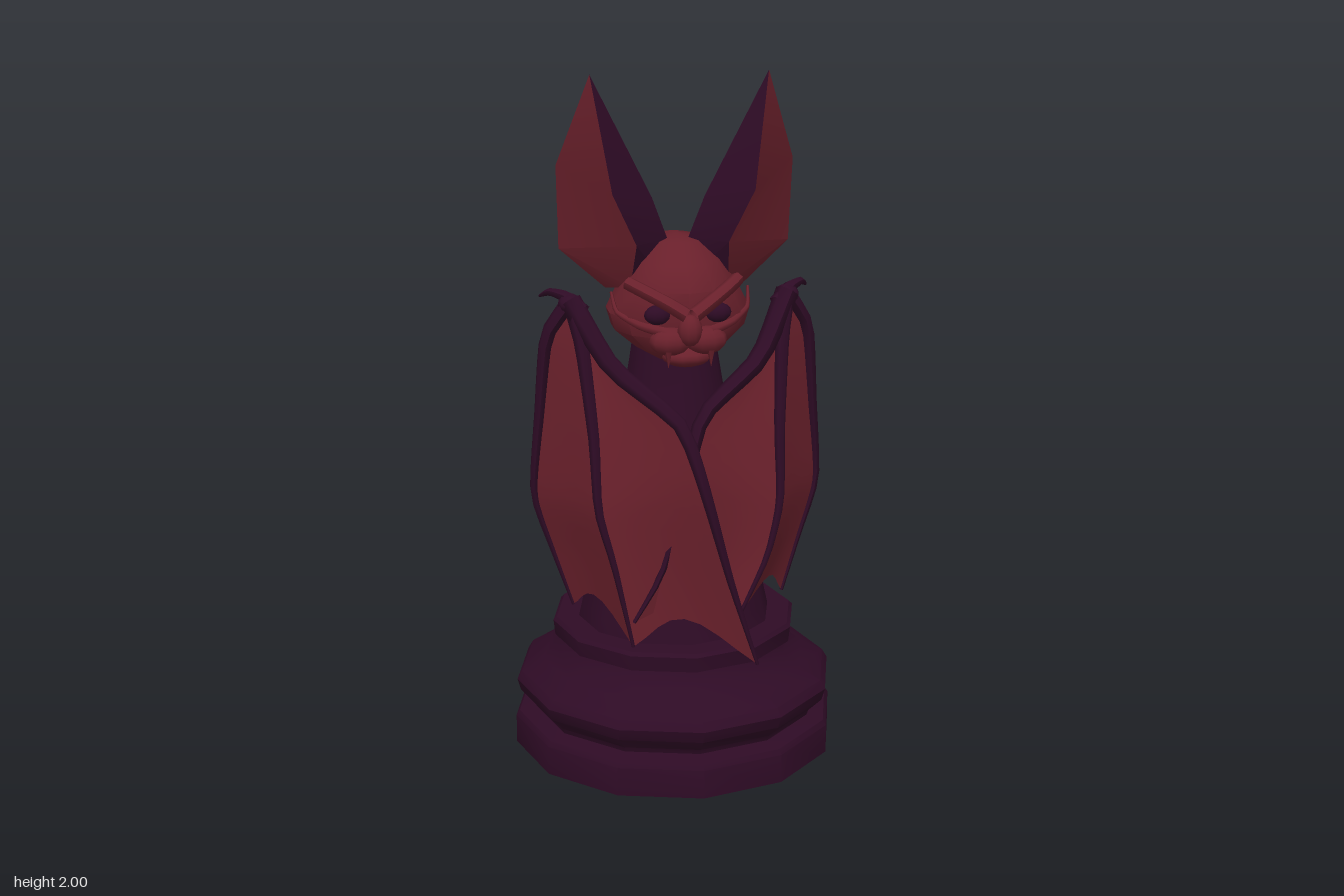
import * as THREE from 'three';
import { toCreasedNormals } from 'three/addons/utils/BufferGeometryUtils.js';

const V = (x, y, z) => new THREE.Vector3(x, y, z);
const path = points => new THREE.CatmullRomCurve3(points, false, 'catmullrom', 0.3);

// Surface through rows of points
function grid(rows, crease = 0.7) {
  const n = rows[0].length, pos = [], idx = [];
  rows.forEach(r => r.forEach(p => pos.push(p.x, p.y, p.z)));
  for (let i = 0; i < rows.length - 1; i++) {
    for (let j = 0; j < n - 1; j++) {
      const a = i * n + j, b = a + 1, c = a + n, d = c + 1;
      idx.push(a, c, b, b, c, d);
    }
  }
  const g = new THREE.BufferGeometry();
  g.setAttribute('position', new THREE.Float32BufferAttribute(pos, 3));
  g.setIndex(idx);
  return toCreasedNormals(g, crease);
}

// Tube whose radius runs from r0 to r1 along the curve, deepened in z
function taper(points, r0, r1, n = 14, depth = 1) {
  const curve = path(points), sides = 6;
  const g = new THREE.TubeGeometry(curve, n, 1, sides);
  const p = g.attributes.position, v = V(0, 0, 0);
  for (let i = 0; i < p.count; i++) {
    const t = Math.floor(i / (sides + 1)) / n, c = curve.getPointAt(t);
    v.fromBufferAttribute(p, i).sub(c).multiplyScalar(r0 + (r1 - r0) * t);
    v.z *= depth;
    v.add(c);
    p.setXYZ(i, v.x, v.y, v.z);
  }
  g.computeVertexNormals();
  return g;
}

export function createModel() {
  const model = new THREE.Group();
  const material = (name, color) =>
    new THREE.MeshStandardMaterial({ name, color, side: THREE.DoubleSide });
  const purple = material('dark plum', 0x2e0b25);
  const red = material('wine red', 0x69202b);
  const brown = material('dark brown', 0x40271f);

  const add = (name, geo, mat, parent = model) => {
    const m = new THREE.Mesh(geo, mat);
    m.name = name;
    parent.add(m);
    return m;
  };
  const ball = (name, mat, x, y, z, sx, sy, sz, parent) => {
    const m = add(name, new THREE.SphereGeometry(1, 10, 8), mat, parent);
    m.position.set(x, y, z);
    m.scale.set(sx, sy, sz);
  };
  const lathe = pts => toCreasedNormals(
    new THREE.LatheGeometry(pts.map(([r, y]) => new THREE.Vector2(r, y)), 12), 0.6);

  // Turned pedestal and tapering body
  add('pedestal', lathe([
    [0, 0], [0.475, 0], [0.475, 0.085], [0.465, 0.1], [0.415, 0.11], [0.42, 0.125],
    [0.46, 0.165], [0.47, 0.2], [0.455, 0.225], [0.39, 0.26], [0.345, 0.295], [0.33, 0.325],
    [0.355, 0.335], [0.36, 0.38], [0.35, 0.39], [0.295, 0.39], [0, 0.39],
  ]), purple);
  add('body', lathe([
    [0.285, 0.385], [0.275, 0.43], [0.24, 0.6], [0.2, 0.8], [0.158, 1.0], [0.128, 1.18], [0.115, 1.27], [0, 1.3],
  ]), purple);

  // Head from horizontal sections: height, half width, back z, front z
  const head = new THREE.Group();
  head.name = 'head';
  model.add(head);
  const rings = [
    [1.54, 0, 0.03, 0.03], [1.525, 0.07, -0.06, 0.11], [1.475, 0.125, -0.1, 0.185],
    [1.41, 0.165, -0.115, 0.23], [1.33, 0.205, -0.115, 0.23], [1.28, 0.19, -0.112, 0.225],
    [1.23, 0.13, -0.1, 0.215], [1.2, 0.08, -0.04, 0.17], [1.195, 0, 0.06, 0.06],
  ].map(([y, w, back, front]) => Array.from({ length: 15 }, (_, i) => {
    const a = (i / 14) * Math.PI * 2;
    return V(w * Math.sin(a), y, (front + back) / 2 + (front - back) / 2 * Math.cos(a));
  }));
  add('skull', grid(rings), red, head);
  ball('nose', red, 0, 1.31, 0.245, 0.035, 0.045, 0.035, head);
  ball('chin', red, 0, 1.225, 0.2, 0.07, 0.03, 0.05, head);

  for (const s of [1, -1]) {
    const side = s > 0 ? 'left' : 'right';
    const P = (x, y, z) => V(s * x, y, z);

    // Face details
    ball(side + 'Muzzle', red, s * 0.05, 1.275, 0.22, 0.06, 0.04, 0.045, head);
    ball(side + 'Eye', purple, s * 0.085, 1.35, 0.213, 0.038, 0.028, 0.025, head);
    add(side + 'Brow', taper([P(0.01, 1.355, 0.255), P(0.06, 1.385, 0.235), P(0.115, 1.41, 0.19),
      P(0.155, 1.425, 0.14)], 0.022, 0.02), red, head);
    add(side + 'Cheek', taper([P(0.06, 1.3, 0.23), P(0.13, 1.315, 0.19), P(0.185, 1.34, 0.13),
      P(0.195, 1.39, 0.09)], 0.016, 0.004), red, head);
    const fang = add(side + 'Fang', new THREE.ConeGeometry(0.013, 0.055, 5), red, head);
    fang.position.set(s * 0.06, 1.23, 0.245);
    fang.rotation.x = Math.PI;

    // Ear: long edges running from the tip to the head, with a hollow inner side
    const ear = new THREE.Group();
    ear.name = side + 'Ear';
    model.add(ear);
    const tip = P(0.25, 2, 0.09);
    const inner = [tip, P(0.075, 1.65, 0.07), P(0.03, 1.53, 0.06), P(0.05, 1.42, 0.04)];
    const ridge = [tip, P(0.2, 1.68, 0.16), P(0.13, 1.53, 0.14), P(0.14, 1.4, 0.09)];
    const outer = [tip, P(0.337, 1.74, 0.02), P(0.33, 1.5, 0.005), P(0.2, 1.385, 0.02)];
    const backOuter = [tip, P(0.265, 1.7, -0.055), P(0.26, 1.5, -0.065), P(0.17, 1.39, -0.05)];
    const backInner = [tip, P(0.175, 1.68, -0.06), P(0.14, 1.5, -0.08), P(0.11, 1.4, -0.07)];
    const rim = [tip, P(0.14, 1.66, -0.01), P(0.075, 1.53, -0.035), P(0.07, 1.42, -0.03)];
    const panel = (name, mat, ...edges) =>
      add(name, grid(tip && inner.map((_, i) => edges.map(e => e[i])), 0.5), mat, ear);
    panel('earShell', red, ridge, outer, backOuter, backInner, rim);
    panel('earInnerFront', purple, inner, ridge);
    panel('earInnerBack', brown, rim, inner);

    // Wing: three finger bones fan out from the wrist, the right one folded over the left
    const wing = new THREE.Group();
    wing.name = side + 'Wing';
    model.add(wing);
    const over = s < 0;
    const d = over ? 0 : -0.08;
    const wrist = P(0.31, 1.37, 0.09);
    const fingers = [
      [wrist, P(0.21, 1.2, 0.2 + d / 4), P(0.04, 1.06, 0.32 + d), P(-0.02, 0.88, 0.375 + d),
        P(-0.09, 0.62, 0.38 + d), P(-0.17, over ? 0.36 : 0.48, 0.385 + d)],
      [wrist, P(0.285, 1.25, 0.14), P(0.265, 1.0, 0.21), P(0.26, 0.8, 0.25),
        P(0.22, 0.64, 0.27), P(over ? 0.17 : 0.14, over ? 0.4 : 0.48, 0.29)],
      [wrist, P(0.375, 1.26, 0.06), P(0.397, 1.03, 0.045), P(0.415, 0.79, 0.035),
        P(0.365, 0.62, 0.045), P(0.31, 0.455, 0.07)],
    ];
    const radii = [0.032, 0.024, 0.022];
    fingers.forEach((f, i) => add('fingerBone', taper(f, radii[i], 0.005, 18, 1.4), purple, wing));

    // Deep fin behind the leading finger
    const curves = fingers.map(path);
    const depth = over ? 0.11 : 0.04;
    add('leadingFin', grid(Array.from({ length: 17 }, (_, i) => {
      const t = i / 16, p = curves[0].getPoint(t);
      return [p, p.clone().add(V(0, 0, -depth * Math.sin(Math.PI * t)))];
    })), purple, wing);

    // Membranes hang between neighbouring fingers with a scalloped hem
    for (let k = 0; k < 2; k++) {
      const rows = [];
      for (let i = 0; i <= 16; i++) {
        rows.push(Array.from({ length: 9 }, (_, j) => {
          const u = j / 8, arch = Math.sin(Math.PI * u);
          const t = (i / 16) * (1 - 0.085 * arch);
          const p = curves[k].getPoint(t).lerp(curves[k + 1].getPoint(t), u);
          p.z -= 0.02 * arch * t;
          return p;
        }));
      }
      add('membrane', grid(rows), red, wing);
    }

    // Wrist and thumb claw
    ball('wrist', purple, s * 0.31, 1.36, 0.085, 0.035, 0.028, 0.04, wing);
    add('thumbClaw', taper([P(0.28, 1.34, 0.11), P(0.315, 1.375, 0.08), P(0.36, 1.385, 0.04),
      P(0.385, 1.365, 0)], 0.028, 0.004, 10), purple, wing);
  }
  return model;
}
